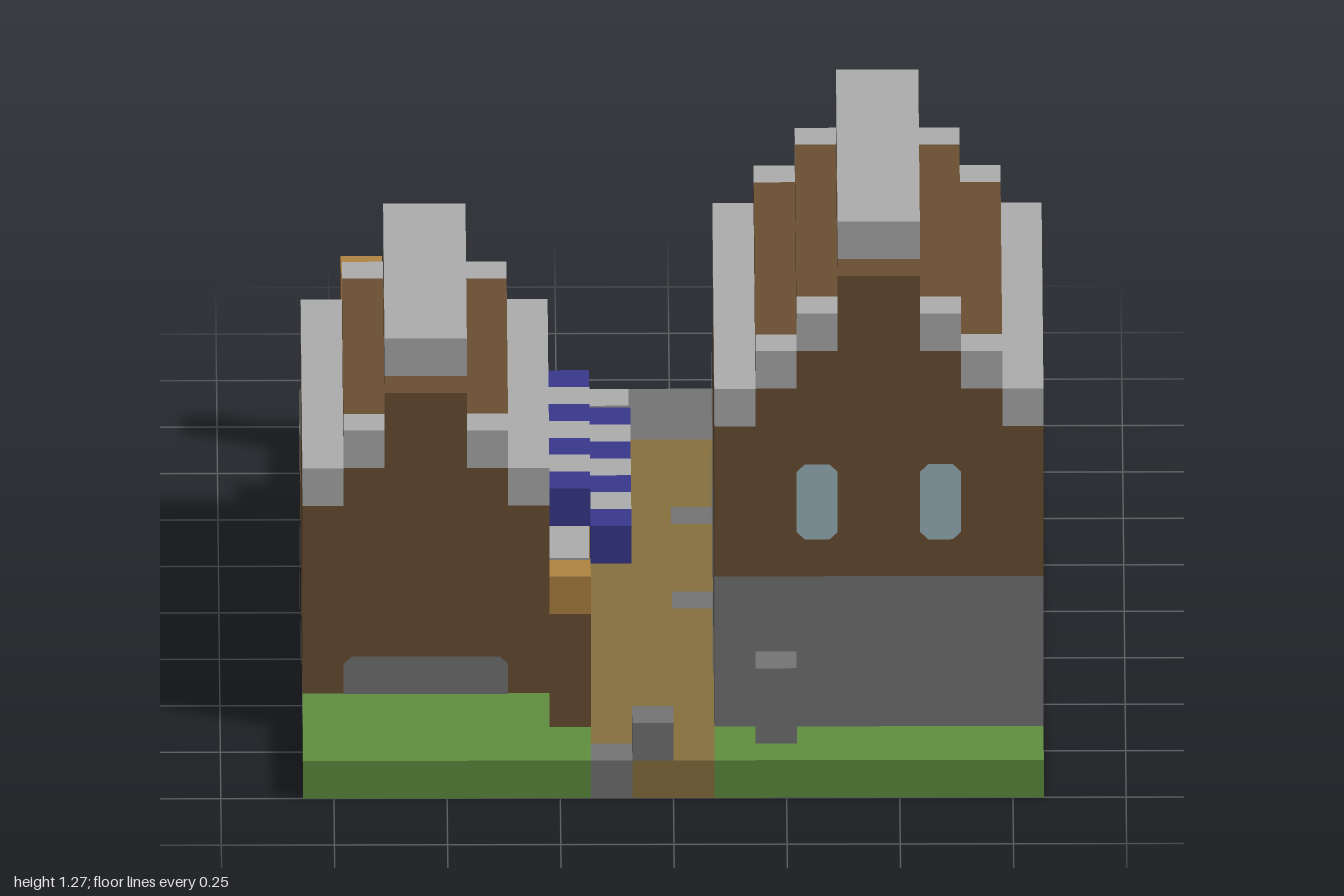
import * as THREE from 'three';

const U = 1 / 11; // edge of one block

export function createModel() {
  const model = new THREE.Group();
  model.name = 'villageStreet';

  const material = (name, color) => {
    const m = new THREE.MeshStandardMaterial({ color });
    m.name = name;
    return m;
  };
  const M = {
    stone: material('stone grey', 0x747474),
    light: material('light stone', 0xabadac),
    wood: material('wood brown', 0x6b5033),
    grass: material('grass green', 0x5f8f3e),
    dirt: material('dirt', 0x87703f),
    blue: material('awning blue', 0x38388c),
    lamp: material('lamp orange', 0xb08542),
    glass: material('window glass', 0x9cb6bf),
  };

  // Box given by its limits in blocks
  function box(parent, name, mat, x0, x1, y0, y1, z0, z1) {
    const g = new THREE.BoxGeometry((x1 - x0) * U, (y1 - y0) * U, (z1 - z0) * U);
    const mesh = new THREE.Mesh(g, M[mat]);
    mesh.name = name;
    mesh.position.set((x0 + x1) / 2 * U, (y0 + y1) / 2 * U, (z0 + z1) / 2 * U);
    parent.add(mesh);
  }

  // Flat plate with clipped corners on a wall; side is the facing: front, back, left or right
  function plate(parent, name, mat, side, wall, a0, a1, y0, y1, cutBottom = true) {
    const w = (a1 - a0) / 2 * U, h = (y1 - y0) / 2 * U, c = 0.2 * U, b = cutBottom ? c : 0;
    const s = new THREE.Shape([
      [-w + b, -h], [w - b, -h], [w, -h + b], [w, h - c],
      [w - c, h], [-w + c, h], [-w, h - c], [-w, -h + b],
    ].map(([x, y]) => new THREE.Vector2(x, y)));
    const mesh = new THREE.Mesh(new THREE.ShapeGeometry(s), M[mat]);
    mesh.name = name;
    const a = (a0 + a1) / 2 * U, y = (y0 + y1) / 2 * U, p = wall * U, e = 0.004;
    if (side === 'front') mesh.position.set(a, y, p + e);
    if (side === 'back') mesh.position.set(a, y, p - e);
    if (side === 'left') mesh.position.set(p + e, y, a);
    if (side === 'right') mesh.position.set(p - e, y, a);
    mesh.rotation.y = { front: 0, back: Math.PI, left: Math.PI / 2, right: -Math.PI / 2 }[side];
    parent.add(mesh);
  }

  // Ground: rectangles painted into a block grid, later ones on top
  const ground = new THREE.Group();
  ground.name = 'ground';
  model.add(ground);
  const grid = Array.from({ length: 22 }, () => Array(18).fill('stone'));
  const paint = (mat, x0, x1, z0, z1) => {
    for (let z = z0; z < z1; z++) for (let x = x0; x < x1; x++) grid[z + 11][x + 9] = mat;
  };
  paint('dirt', -9, 9, -8, -5);   // cross road
  paint('grass', -9, -2, 6, 11);  // front lawns
  paint('grass', 1, 9, 9, 11);
  paint('dirt', -2, 1, -5, 11);   // lane
  paint('dirt', 1, 2, -3, -2);
  paint('grass', 2, 9, -3, -2);   // flower bed
  paint('stone', -9, -3, -3, 7);  // house footings and floors
  paint('wood', -8, -4, -2, 6);
  paint('stone', 1, 9, -2, 9);
  paint('wood', 2, 8, -1, 8);
  paint('light', -3, -2, -3, -1);
  // loose paving stones
  for (const [x, z] of [[-9, -7], [-7, -7], [-5, -8], [5, -7], [8, -7], [-2, -6], [-2, -5],
    [0, -4], [0, 1], [-2, 10]]) paint('stone', x, x + 1, z, z + 1);
  for (const [x, z] of [[-8, -11], [-7, -11], [-6, -11], [-6, -10], [-4, -11], [-2, -11],
    [-9, -9], [3, -9], [6, -10], [7, -10], [2, -4], [5, -4], [4, -5], [7, -5], [-3, 7]]) {
    paint('light', x, x + 1, z, z + 1);
  }
  // one slab for each run of equal blocks
  grid.forEach((row, k) => {
    for (let i = 0; i < 18;) {
      let j = i;
      while (j < 18 && row[j] === row[i]) j++;
      box(ground, row[i] + 'Slab', row[i], i - 9, j - 9, 0, 1, k - 11, k - 10);
      i = j;
    }
  });

  // Stepped gable roof: light eaves, steps with light ends, wooden crest and light ridge
  function roof(parent, x0, x1, z0, z1, y, steps) {
    for (const x of [x0, x1 - 1]) box(parent, 'eave', 'light', x, x + 1, y, y + 1, z0, z1);
    box(parent, 'gable', 'wood', x0 + 1, x1 - 1, y, y + 1, z0, z1);
    for (let s = 1; s <= steps; s++) {
      const h = y + s;
      for (const x of [x0 + s, x1 - 1 - s]) {
        box(parent, 'roofStep', 'wood', x, x + 1, h, h + 1, z0 + 1, z1 - 1);
        for (const z of [z0, z1 - 1]) box(parent, 'gableCap', 'light', x, x + 1, h, h + 1, z, z + 1);
      }
      box(parent, 'gable', 'wood', x0 + s + 1, x1 - s - 1, h, h + 1, z0, z1);
    }
    const a = x0 + steps + 1, b = x1 - steps - 1, top = y + steps + 1;
    box(parent, 'crest', 'wood', a, b, top, top + 1, z0, z1);
    box(parent, 'ridge', 'light', a, b, top + 1, top + 2, z0 + 1, z1 - 1);
  }

  // Tall house
  const tall = new THREE.Group();
  tall.name = 'tallHouse';
  model.add(tall);
  box(tall, 'lowerWall', 'stone', 1, 9, 1, 5, -2, 9);
  box(tall, 'upperWall', 'wood', 1, 9, 5, 9, -2, 9);
  roof(tall, 1, 9, -2, 9, 9, 2);
  for (const x of [3, 6]) plate(tall, 'frontWindow', 'glass', 'front', 9, x, x + 1, 6, 8);
  for (const x of [2, 6]) {
    for (const y of [2, 6]) plate(tall, 'backWindow', 'glass', 'back', -2, x, x + 2, y, y + 2);
  }
  for (const z of [0, 6]) plate(tall, 'upperSideWindow', 'glass', 'left', 9, z, z + 1, 6, 8);
  for (const z of [1, 5]) plate(tall, 'lowerSideWindow', 'glass', 'left', 9, z, z + 1, 2, 4);
  for (const z of [0, 5]) plate(tall, 'upperLaneWindow', 'glass', 'right', 1, z, z + 2, 6, 8);
  for (const z of [-1, 6]) plate(tall, 'lowerLaneWindow', 'glass', 'right', 1, z, z + 2, 2, 4);
  plate(tall, 'door', 'wood', 'back', -2, 4, 5, 1, 3, false);

  // Small shop
  const shop = new THREE.Group();
  shop.name = 'shop';
  model.add(shop);
  box(shop, 'wall', 'wood', -9, -3, 1, 6, -3, 7);
  roof(shop, -9, -3, -3, 7, 6, 1);
  plate(shop, 'footing', 'stone', 'front', 7, -8, -4, 1, 2, false);
  plate(shop, 'footing', 'stone', 'back', -3, -8, -4, 1, 2, false);
  plate(shop, 'footing', 'stone', 'right', -9, -2, 6, 1, 2, false);
  plate(shop, 'footing', 'stone', 'left', -3, -2, 6, 1, 2, false);
  box(shop, 'counter', 'stone', -8, -6, 1, 2, -5, -4);

  // Striped awnings, two steps each
  for (let i = 0; i < 6; i++) {
    const mat = i % 2 ? 'light' : 'blue', x = i - 9;
    box(shop, 'backAwning', mat, x, x + 1, 5, 6, -4, -3);
    box(shop, 'backAwning', mat, x, x + 1, 4, 5, -5, -4);
  }
  for (let i = 0; i < 7; i++) {
    const mat = i % 2 ? 'light' : 'blue', z = i - 1;
    box(shop, 'sideAwning', mat, -3, -2, 5, 6, z, z + 1);
    box(shop, 'sideAwning', mat, -2, -1, 4, 5, z, z + 1);
  }

  // Lamp posts
  for (const [x, z] of [[-3, 8], [-8, -10], [7, -4]]) {
    box(model, 'lampPost', 'wood', x, x + 1, 1, 4, z, z + 1);
    box(model, 'lamp', 'lamp', x, x + 1, 4, 5, z, z + 1);
  }

  // Bollards and bushes
  for (const [x, z, h] of [[-1, 10, 1], [2, 9, 2], [8, -7, 1], [-9, -7, 1]]) {
    box(model, 'bollard', 'stone', x, x + 1, 1, 1 + h, z, z + 1);
  }
  for (const x of [3, 5]) box(model, 'bush', 'grass', x, x + 1, 1, 2, -3, -2);

  return model;
}
